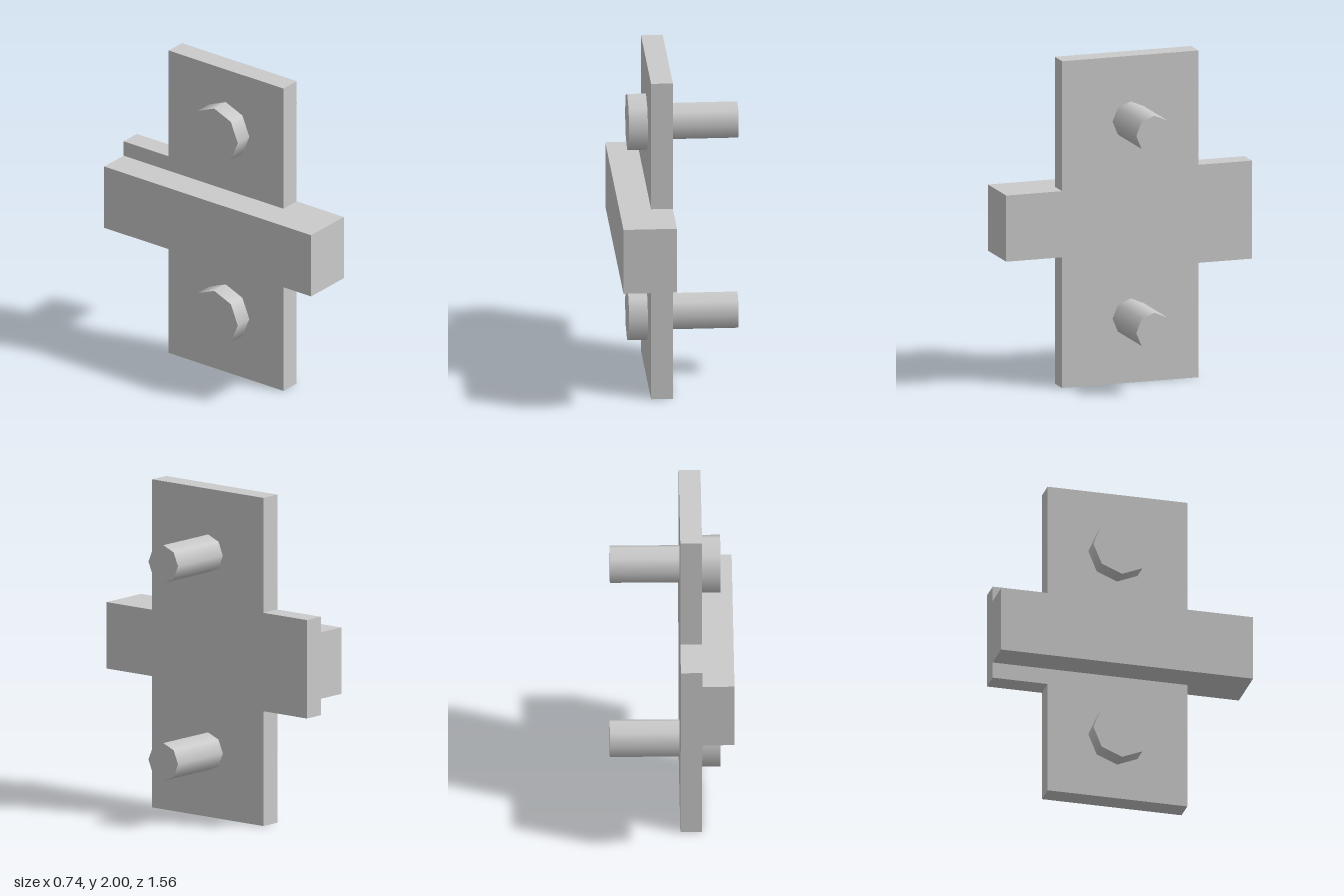
import * as THREE from 'three';

const material = new THREE.MeshStandardMaterial({ color: 0xcccccc });
const BACK = -0.18, FACE = -0.05; // plate thickness along x

function addMesh(parent, name, geometry) {
  const mesh = new THREE.Mesh(geometry, material);
  mesh.name = name;
  parent.add(mesh);
  return mesh;
}

// Octagonal smooth-shaded rod lying along x
function rod(radius, x0, x1) {
  return new THREE.CylinderGeometry(radius, radius, x1 - x0, 8)
    .rotateZ(-Math.PI / 2)
    .translate((x0 + x1) / 2, 0, 0);
}

export function createModel() {
  const model = new THREE.Group();
  model.name = 'boltedBracket';

  // Cross-shaped plate: outline as (z, y), extruded along x
  const outline = [
    [0.425, 0], [-0.44, 0], [-0.44, 0.7], [-0.78, 0.7], [-0.78, 1.3], [-0.44, 1.3],
    [-0.44, 2], [0.425, 2], [0.425, 1.205], [0.78, 1.205], [0.78, 0.8], [0.425, 0.8],
  ];
  const shape = new THREE.Shape(outline.map(([z, y]) => new THREE.Vector2(-z, y)));
  const plate = new THREE.ExtrudeGeometry(shape, { depth: FACE - BACK, bevelEnabled: false })
    .rotateY(Math.PI / 2)
    .translate(BACK, 0, 0);
  addMesh(model, 'plate', plate);

  // Horizontal bar across the plate's rear side, flush with the narrow arm
  const bar = addMesh(model, 'crossBar', new THREE.BoxGeometry(0.19, 0.405, 1.56));
  bar.position.set(-0.275, 1.0025, 0);

  // Upper and lower bolts, each a wide head and a shank through the plate
  for (const [name, y] of [['lowerBolt', 0.4], ['upperBolt', 1.606]]) {
    const bolt = new THREE.Group();
    bolt.name = name;
    bolt.position.set(0, y, -0.01);
    addMesh(bolt, 'boltHead', rod(0.178, -0.293, BACK));
    addMesh(bolt, 'boltShank', rod(0.115, BACK + 0.02, 0.367));
    model.add(bolt);
  }
  return model;
}
